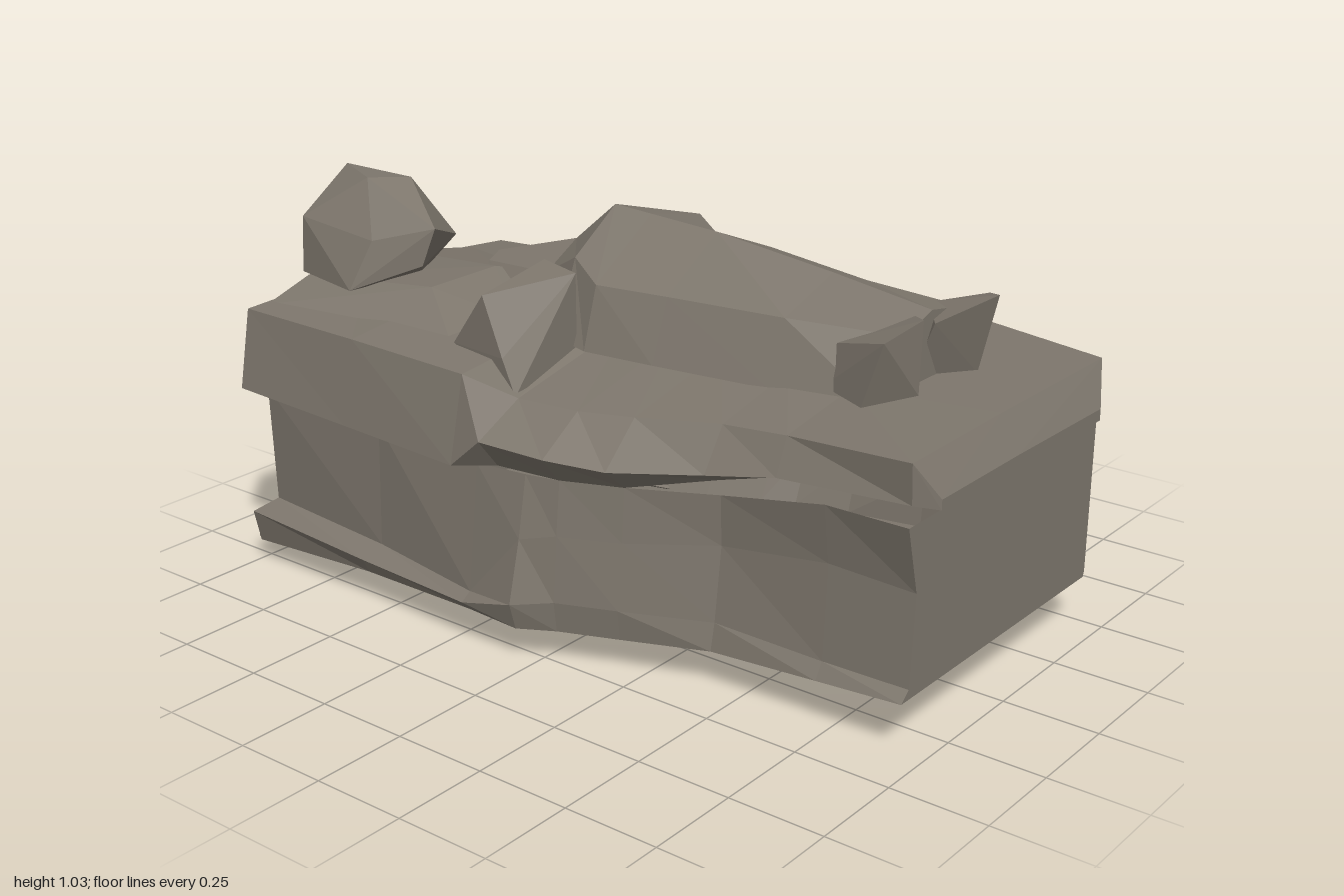
import * as THREE from 'three';
import { ConvexGeometry } from 'three/addons/geometries/ConvexGeometry.js';

const stone = new THREE.MeshStandardMaterial({ color: 0x7d766c, flatShading: true, side: THREE.DoubleSide });
stone.name = 'weathered stone';

function addMesh(group, name, geometry) {
  const mesh = new THREE.Mesh(geometry, stone);
  mesh.name = name;
  group.add(mesh);
}

// Skin over cross-sections [x, [[y, z, xShift?], ...]]; the ends can be filled with a fan.
function loft(sections, capStart = false, capEnd = false) {
  const out = [];
  const pt = (s, i) => {
    const [y, z, shift = 0] = sections[s][1][i];
    return [sections[s][0] + shift, y, z];
  };
  const tri = (a, b, c) => out.push(...a, ...b, ...c);
  const n = sections[0][1].length, last = sections.length - 1;
  for (let s = 0; s < last; s++) {
    for (let i = 0; i < n - 1; i++) {
      const a = pt(s, i), b = pt(s + 1, i), c = pt(s + 1, i + 1), d = pt(s, i + 1);
      tri(a, d, c);
      tri(a, c, b);
    }
  }
  for (let i = 0; i < n - 2; i++) {
    if (capStart) tri(pt(0, n - 1), pt(0, i + 1), pt(0, i));
    if (capEnd) tri(pt(last, n - 1), pt(last, i), pt(last, i + 1));
  }
  const g = new THREE.BufferGeometry();
  g.setAttribute('position', new THREE.Float32BufferAttribute(out, 3));
  g.computeVertexNormals();
  return g;
}

const hull = (points) => new ConvexGeometry(points.map((p) => new THREE.Vector3(...p)));

export function createModel() {
  const model = new THREE.Group();
  model.name = 'tombWithEffigy';

  // Hollow chest: front top, down over the plinth, under, and up the back
  addMesh(model, 'chest', loft([
    [-0.99, [[0.48, 0.48], [0.16, 0.47], [0.15, 0.56], [0.06, 0.54], [0.07, -0.34, 0.04], [0.15, -0.37, 0.05], [0.49, -0.38, 0.06]]],
    [-0.56, [[0.48, 0.49], [0.15, 0.5], [0.13, 0.57], [0.09, 0.55], [0.08, -0.36], [0.17, -0.45], [0.5, -0.43]]],
    [-0.2, [[0.47, 0.51], [0.14, 0.55], [0.12, 0.58], [0.09, 0.55], [0.08, -0.42], [0.24, -0.51], [0.5, -0.49]]],
    [-0.04, [[0.48, 0.51], [0.32, 0.54], [0.16, 0.58], [0.09, 0.56], [0.09, -0.46], [0.24, -0.54], [0.49, -0.52]]],
    [0.05, [[0.48, 0.49], [0.34, 0.505], [0.17, 0.52], [0.09, 0.51], [0.09, -0.5], [0.24, -0.56], [0.48, -0.55]]],
    [0.2, [[0.48, 0.43], [0.34, 0.44], [0.17, 0.46], [0.09, 0.45], [0.09, -0.54], [0.24, -0.585], [0.48, -0.57]]],
    [0.42, [[0.49, 0.345], [0.36, 0.34], [0.17, 0.365], [0.1, 0.38], [0.1, -0.56], [0.24, -0.575], [0.48, -0.56]]],
    [0.72, [[0.55, 0.36], [0.4, 0.34], [0.16, 0.355], [0.12, 0.38], [0.12, -0.54], [0.2, -0.55], [0.52, -0.54]]],
    [0.95, [[0.56, 0.378], [0.39, 0.335], [0.16, 0.35], [0.135, 0.38], [0.135, -0.475], [0.15, -0.48], [0.565, -0.485]]],
  ], false, true));

  // Chipped underside of the plinth at the back
  addMesh(model, 'brokenPlinth', hull([
    [-0.94, 0.08, -0.34], [-0.92, 0.14, -0.41], [-0.8, 0.06, -0.4], [-0.56, 0, -0.43],
    [-0.3, 0.085, -0.38], [-0.45, 0.14, -0.45], [-0.6, 0.1, -0.28],
  ]));

  // Overhanging lid shell: back edge, top, front edge, front lip
  addMesh(model, 'lid', loft([
    [-1, [[0.49, -0.39, 0.07], [0.71, -0.38, 0.07], [0.74, 0.1, 0.03], [0.71, 0.52], [0.5, 0.56], [0.48, 0.48]]],
    [-0.6, [[0.5, -0.43], [0.72, -0.4], [0.77, -0.04], [0.71, 0.53], [0.49, 0.57], [0.48, 0.49]]],
    [-0.22, [[0.5, -0.49], [0.72, -0.42], [0.75, 0], [0.7, 0.53], [0.48, 0.58], [0.46, 0.51]]],
    [-0.13, [[0.5, -0.505], [0.72, -0.43], [0.72, 0], [0.63, 0.43], [0.56, 0.575], [0.48, 0.51]]],
    [0.05, [[0.48, -0.55], [0.72, -0.45], [0.72, 0.05], [0.635, 0.42], [0.55, 0.55], [0.48, 0.49]]],
    [0.2, [[0.48, -0.57], [0.72, -0.49], [0.72, 0.05], [0.645, 0.39], [0.54, 0.5], [0.48, 0.43]]],
    [0.42, [[0.5, -0.56], [0.72, -0.54], [0.72, 0.08], [0.665, 0.34], [0.56, 0.41], [0.53, 0.35]]],
    [0.6, [[0.54, -0.55], [0.72, -0.56], [0.72, 0.08], [0.68, 0.34], [0.59, 0.38], [0.58, 0.34]]],
    [0.95, [[0.575, -0.49], [0.715, -0.49], [0.715, 0], [0.71, 0.375], [0.61, 0.37], [0.6, 0.33]]],
    [1, [[0.59, -0.4], [0.62, -0.4], [0.625, 0], [0.625, 0.33], [0.6, 0.33], [0.6, 0.32]]],
  ], false, true));

  // Beams above and below the open end
  const beams = [['upperBeam', 0.61, 0.71, 0.52], ['lowerBeam', 0.07, 0.14, 0.54]];
  for (const [name, low, high, front] of beams) {
    const corners = [];
    for (const y of [low, high]) {
      for (const dx of [0, 0.03]) corners.push([-0.995 + dx, y, front], [-0.925 + dx, y, -0.37]);
    }
    addMesh(model, name, hull(corners));
  }

  // Wall at the back of the recess in the open end
  const recess = new THREE.BoxGeometry(0.02, 0.46, 0.88);
  recess.translate(-0.75, 0.33, 0.03);
  addMesh(model, 'recessWall', recess);

  // Reclining body: back base, back shoulder, ridge, front shoulder, front base
  addMesh(model, 'recliningBody', loft([
    [-0.6, [[0.72, -0.2], [0.79, -0.12], [0.82, -0.02], [0.8, 0.02], [0.72, 0.08]]],
    [-0.36, [[0.72, -0.25], [0.81, -0.18], [0.885, -0.06], [0.82, 0.06], [0.72, 0.14]]],
    [-0.21, [[0.71, -0.42], [0.905, -0.395], [1.005, -0.04], [0.9, 0.12], [0.71, 0.2]]],
    [-0.1, [[0.71, -0.4], [0.88, -0.33], [0.995, -0.05], [0.86, 0.17], [0.7, 0.22]]],
    [0.1, [[0.71, -0.39], [0.89, -0.29], [0.98, -0.06], [0.86, 0.14], [0.7, 0.2]]],
    [0.42, [[0.71, -0.31], [0.87, -0.25], [0.925, -0.1], [0.86, 0.1], [0.7, 0.16]]],
    [0.7, [[0.71, -0.28], [0.86, -0.24], [0.885, -0.1], [0.85, 0.02], [0.7, 0.12]]],
  ], true, true));

  // Head
  addMesh(model, 'head', hull([
    [-0.98, 1.035, 0.16], [-0.75, 1.03, 0.15], [-0.82, 1.035, 0.24], [-0.99, 0.92, 0.32],
    [-0.57, 0.94, 0.25], [-0.6, 0.84, 0.27], [-0.99, 0.77, 0.33], [-0.76, 0.77, 0.38],
    [-0.72, 0.9, 0.33], [-0.96, 0.88, 0.02], [-0.7, 0.86, 0.04], [-0.8, 0.74, 0.08],
  ]));

  // Pillow
  addMesh(model, 'pillow', hull([
    [-0.99, 0.71, 0.46], [-0.98, 0.76, 0.32], [-0.96, 0.76, 0], [-0.92, 0.72, -0.25], [-0.57, 0.79, 0.27],
    [-0.55, 0.8, 0.05], [-0.34, 0.73, 0.2], [-0.38, 0.71, 0.4], [-0.4, 0.76, -0.12], [-0.4, 0.72, -0.3],
  ]));

  // Folded arm on the front side
  addMesh(model, 'arm', hull([
    [-0.36, 0.72, 0.41], [-0.14, 0.63, 0.43], [-0.25, 0.865, 0.42], [-0.26, 0.9, 0.18],
    [-0.33, 0.78, 0.15], [-0.14, 0.89, 0.2], [-0.14, 0.7, 0.2], [-0.18, 0.72, 0.43],
  ]));

  // Two upturned feet
  addMesh(model, 'backFoot', hull([
    [0.82, 0.92, -0.2], [0.76, 0.9, -0.26], [0.62, 0.86, -0.22], [0.76, 0.71, -0.22],
    [0.72, 0.86, -0.08], [0.64, 0.71, -0.28], [0.66, 0.71, -0.08],
  ]));
  addMesh(model, 'frontFoot', hull([
    [0.75, 0.9, 0.02], [0.75, 0.72, 0.03], [0.74, 0.88, 0.17], [0.69, 0.72, 0.18],
    [0.54, 0.72, 0.11], [0.55, 0.82, 0.08], [0.66, 0.87, -0.08], [0.66, 0.71, -0.08],
  ]));

  return model;
}
